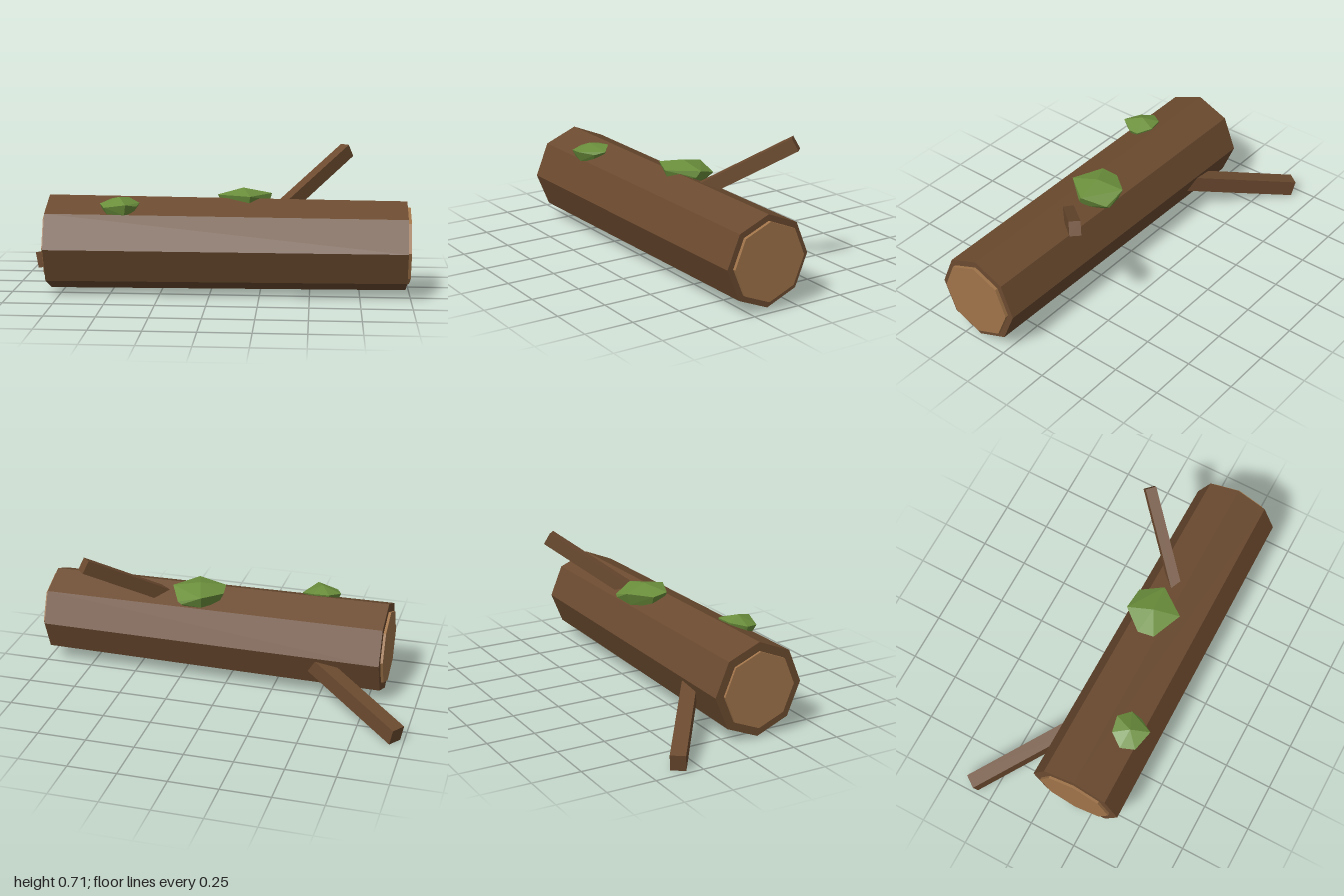
import * as THREE from 'three';
import { ConvexGeometry } from 'three/addons/geometries/ConvexGeometry.js';

const material = (name, color) => {
  const m = new THREE.MeshStandardMaterial({ color, flatShading: true });
  m.name = name;
  return m;
};

export function createModel() {
  const bark = material('bark', 0x6b4a2f);
  const wood = material('cut wood', 0xa0744a);
  const moss = material('moss', 0x6b8f3c);
  const model = new THREE.Group();
  model.name = 'mossyLog';

  const add = (name, geometry, mat) => {
    const mesh = new THREE.Mesh(geometry, mat);
    mesh.name = name;
    model.add(mesh);
    return mesh;
  };

  // Eight-sided cylinder lying along x, between two x positions
  const lying = (name, x0, x1, r0, r1, mat) => {
    const g = new THREE.CylinderGeometry(r1, r0, x1 - x0, 8);
    g.rotateZ(-Math.PI / 2);
    add(name, g, mat).position.set((x0 + x1) / 2, 0.25, 0.165);
  };
  lying('trunk', -0.815, 0.98, 0.24, 0.226, bark);
  lying('leftCutFace', 0.9, 0.997, 0.195, 0.195, wood);
  lying('rightCutFace', -0.828, -0.75, 0.195, 0.195, wood);

  // Square branch running back from its tip into the trunk
  const branch = (name, tip, direction, length, width, height) => {
    const dir = new THREE.Vector3(...direction).normalize();
    const side = new THREE.Vector3(0, 1, 0).cross(dir).normalize();
    const up = dir.clone().cross(side);
    const g = new THREE.BoxGeometry(width, height, length);
    g.translate(0, 0, -length / 2);
    g.applyMatrix4(new THREE.Matrix4().makeBasis(side, up, dir));
    add(name, g, bark).position.set(...tip);
  };
  branch('upperBranch', [0.685, 0.683, -0.21], [1, 0.8, -1], 0.62, 0.056, 0.07);
  branch('lowerBranch', [-0.966, 0.045, -0.366], [-0.81, -0.25, -0.59], 0.7, 0.075, 0.086);

  // Faceted moss clump: a rim of [x, y, z] points, a crown and a smaller base
  const clump = (name, crown, baseY, rim) => {
    const points = [new THREE.Vector3(...crown)];
    for (const [x, y, z] of rim) {
      points.push(new THREE.Vector3(x, y, z));
      points.push(new THREE.Vector3(
        crown[0] + (x - crown[0]) * 0.8, baseY, crown[2] + (z - crown[2]) * 0.8));
    }
    add(name, new ConvexGeometry(points), moss);
  };
  clump('largeMoss', [0.16, 0.525, 0.09], 0.43, [
    [0.03, 0.485, 0.07], [0.04, 0.497, 0.155], [0.2, 0.498, 0.222],
    [0.305, 0.497, 0.08], [0.245, 0.46, -0.035], [0.12, 0.495, -0.04],
    [0.295, 0.465, 0.1], [0.225, 0.448, -0.04],
  ]);
  clump('smallMoss', [-0.447, 0.5, 0.28], 0.42, [
    [-0.545, 0.465, 0.275], [-0.495, 0.48, 0.205], [-0.41, 0.485, 0.188],
    [-0.35, 0.465, 0.24], [-0.36, 0.455, 0.3], [-0.405, 0.473, 0.372],
    [-0.515, 0.455, 0.345],
  ]);

  return model;
}
